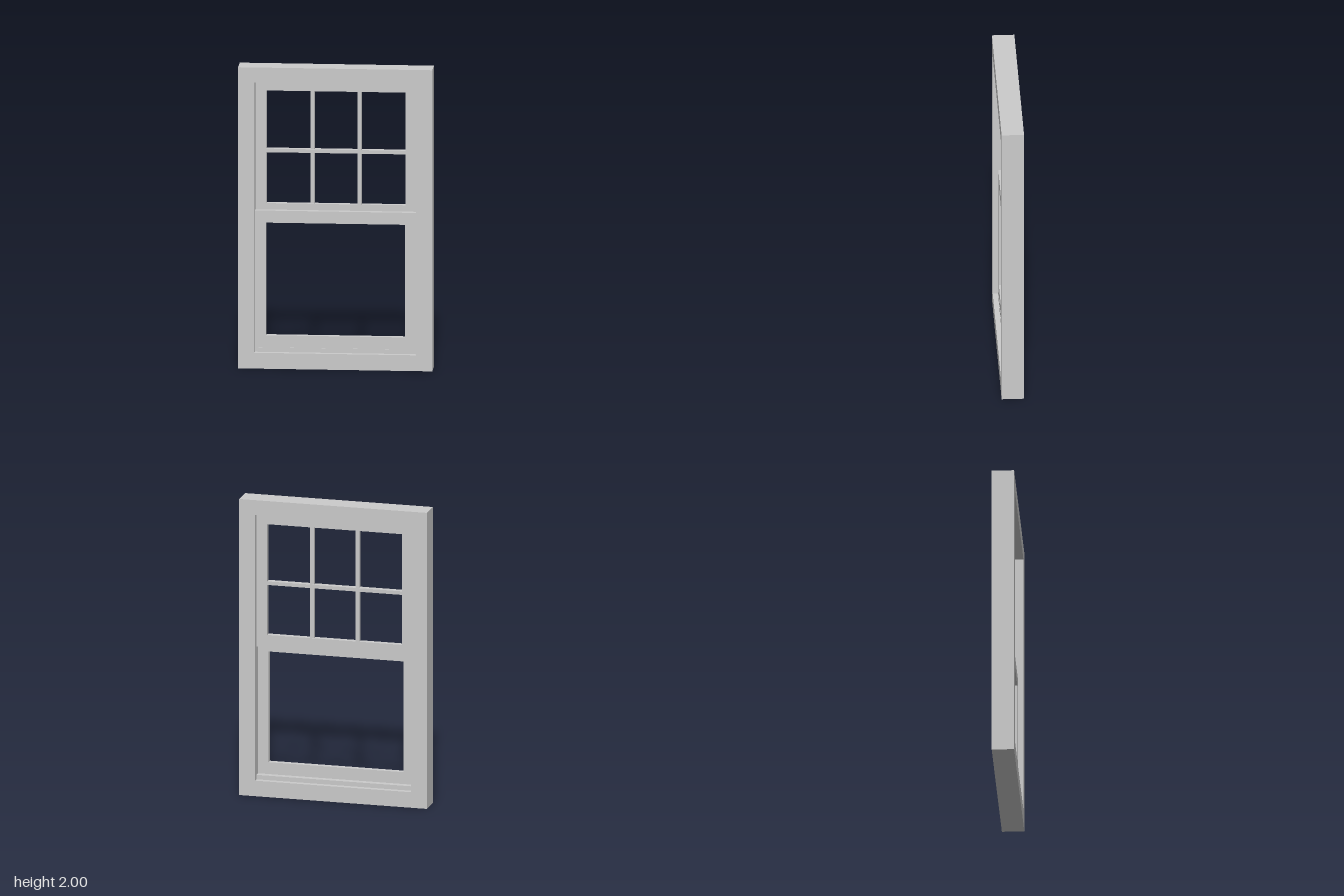
import * as THREE from 'three';

const material = new THREE.MeshStandardMaterial({ color: 0xcccccc });

// Box given by its min and max corners
function box(name, x0, x1, y0, y1, z0, z1) {
  const mesh = new THREE.Mesh(new THREE.BoxGeometry(x1 - x0, y1 - y0, z1 - z0), material);
  mesh.position.set((x0 + x1) / 2, (y0 + y1) / 2, (z0 + z1) / 2);
  mesh.name = name;
  return mesh;
}

// Rectangular plate with a rectangular opening, extruded from z0 to z1
function ring(name, halfW, y0, y1, holeHalfW, h0, h1, z0, z1) {
  const rect = (Type, w, a, b) => {
    const p = new Type();
    p.moveTo(-w, a);
    p.lineTo(w, a);
    p.lineTo(w, b);
    p.lineTo(-w, b);
    p.closePath();
    return p;
  };
  const shape = rect(THREE.Shape, halfW, y0, y1);
  shape.holes.push(rect(THREE.Path, holeHalfW, h0, h1));
  const geometry = new THREE.ExtrudeGeometry(shape, { depth: z1 - z0, bevelEnabled: false });
  geometry.translate(0, 0, z0);
  const mesh = new THREE.Mesh(geometry, material);
  mesh.name = name;
  return mesh;
}

export function createModel() {
  const group = new THREE.Group();
  group.name = 'sashWindow';

  // Outer casing
  group.add(ring('outerFrame', 0.633, 0, 2, 0.526, 0.105, 1.9, -0.073, 0.073));

  // Lower sash in the front track, upper sash in the back track
  group.add(ring('lowerSash', 0.526, 0.105, 1.043, 0.453, 0.215, 0.963, 0, 0.037));
  group.add(ring('upperSash', 0.526, 1.003, 1.9, 0.453, 1.085, 1.833, -0.037, 0));

  // Raised stop along the sill
  group.add(box('sillStop', -0.526, 0.526, 0.105, 0.135, -0.039, 0.039));

  // Glazing bars of the upper sash
  const bars = new THREE.Group();
  bars.name = 'glazingBars';
  for (const x of [-0.153, 0.153]) {
    bars.add(box('verticalBar', x - 0.014, x + 0.014, 1.085, 1.833, -0.033, -0.004));
  }
  bars.add(box('horizontalBar', -0.456, 0.456, 1.423, 1.447, -0.038, 0.001));
  group.add(bars);

  return group;
}
